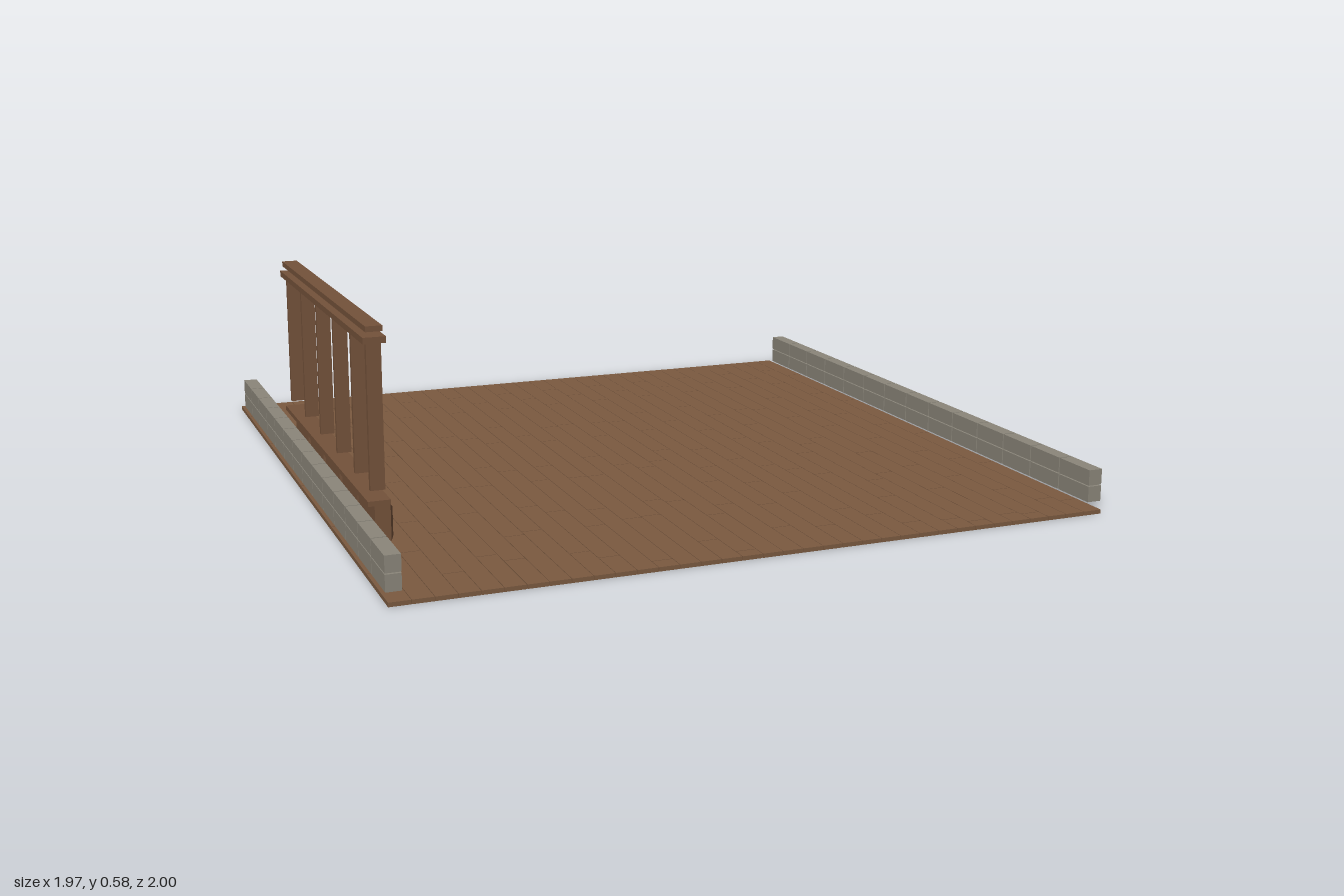
import * as THREE from 'three';

function material(name, color) {
  const m = new THREE.MeshStandardMaterial({ color });
  m.name = name;
  return m;
}

// Box given by its minimum and maximum on each axis
function block(parent, name, mat, [x0, x1], [y0, y1], [z0, z1]) {
  const mesh = new THREE.Mesh(new THREE.BoxGeometry(x1 - x0, y1 - y0, z1 - z0), mat);
  mesh.position.set((x0 + x1) / 2, (y0 + y1) / 2, (z0 + z1) / 2);
  mesh.name = name;
  parent.add(mesh);
  return mesh;
}

function group(parent, name) {
  const g = new THREE.Group();
  g.name = name;
  parent.add(g);
  return g;
}

export function createModel() {
  const model = new THREE.Group();
  model.name = 'plankFloorWithRailing';
  const floorWood = material('floorWood', 0x7b5a40);
  const railWood = material('railWood', 0x74523a);
  const stone = material('stone', 0x8b867a);

  let seed = 7;
  const random = () => (seed = (seed * 16807) % 2147483647) / 2147483647;

  // Floor: columns of planks with staggered end joints
  const floor = group(model, 'floor');
  const columns = 35, left = -0.99, pitch = 1.93 / columns, gap = 0.0015;
  const firstJoint = [-0.85, -0.75, -0.65];
  for (let i = 0; i < columns; i++) {
    const x = left + i * pitch;
    let start = -1, end = firstJoint[i % 3];
    while (start < 1) {
      block(floor, 'plank', floorWood, [x + gap / 2, x + pitch - gap / 2], [0.003, 0.014],
        [start + (start > -1 ? gap : 0), end - (end < 1 ? gap : 0)]);
      start = end;
      end = start + 0.36 + random() * 0.14;
      if (end > 0.98) end = 1;
    }
  }

  // Low stone walls: two courses of blocks along each side
  for (const [name, x0] of [['rightWall', -0.98], ['leftWall', 0.945]]) {
    const wall = group(model, name);
    for (const y of [0.015, 0.061]) {
      for (let i = 0; i < 14; i++) {
        const z = -0.985 + i * 0.1375;
        block(wall, 'stoneBlock', stone, [x0, x0 + 0.04], [y, y + 0.043], [z, z + 0.133]);
      }
    }
  }

  // Railing: sill, uprights and two top rails
  const railing = group(model, 'railing');
  const span = [-0.365, 0.685];
  block(railing, 'sill', railWood, [-0.957, -0.9], [0.145, 0.158], span);
  block(railing, 'lowerRail', railWood, [-0.957, -0.9], [0.545, 0.561], span);
  block(railing, 'topRail', railWood, [-0.95, -0.908], [0.574, 0.588], span);
  for (const z of [0.657, 0.492, 0.285, 0.077, -0.13, -0.337]) {
    block(railing, 'upright', railWood, [-0.945, -0.908], [0.178, 0.545], [z - 0.007, z + 0.007]);
  }

  // Bevelled panels with small handles under the sill
  for (const z of [0.572, 0.382, 0.174, -0.031, -0.24]) {
    const panel = group(railing, 'panel');
    block(panel, 'panelBody', railWood, [-0.935, -0.897], [0.04, 0.143], [z - 0.088, z + 0.088]);
    const shape = new THREE.Shape();
    shape.moveTo(-0.076, -0.037);
    shape.lineTo(0.076, -0.037);
    shape.lineTo(0.076, 0.037);
    shape.lineTo(-0.076, 0.037);
    const geometry = new THREE.ExtrudeGeometry(shape, {
      depth: 0.002, bevelThickness: 0.007, bevelSize: 0.01, bevelSegments: 1,
    });
    const front = new THREE.Mesh(geometry, railWood);
    front.name = 'raisedFront';
    front.rotation.y = Math.PI / 2;
    front.position.set(-0.897, 0.0915, z);
    panel.add(front);
    block(panel, 'handle', railWood, [-0.89, -0.878], [0.104, 0.114], [z - 0.02, z + 0.02]);
  }

  return model;
}
